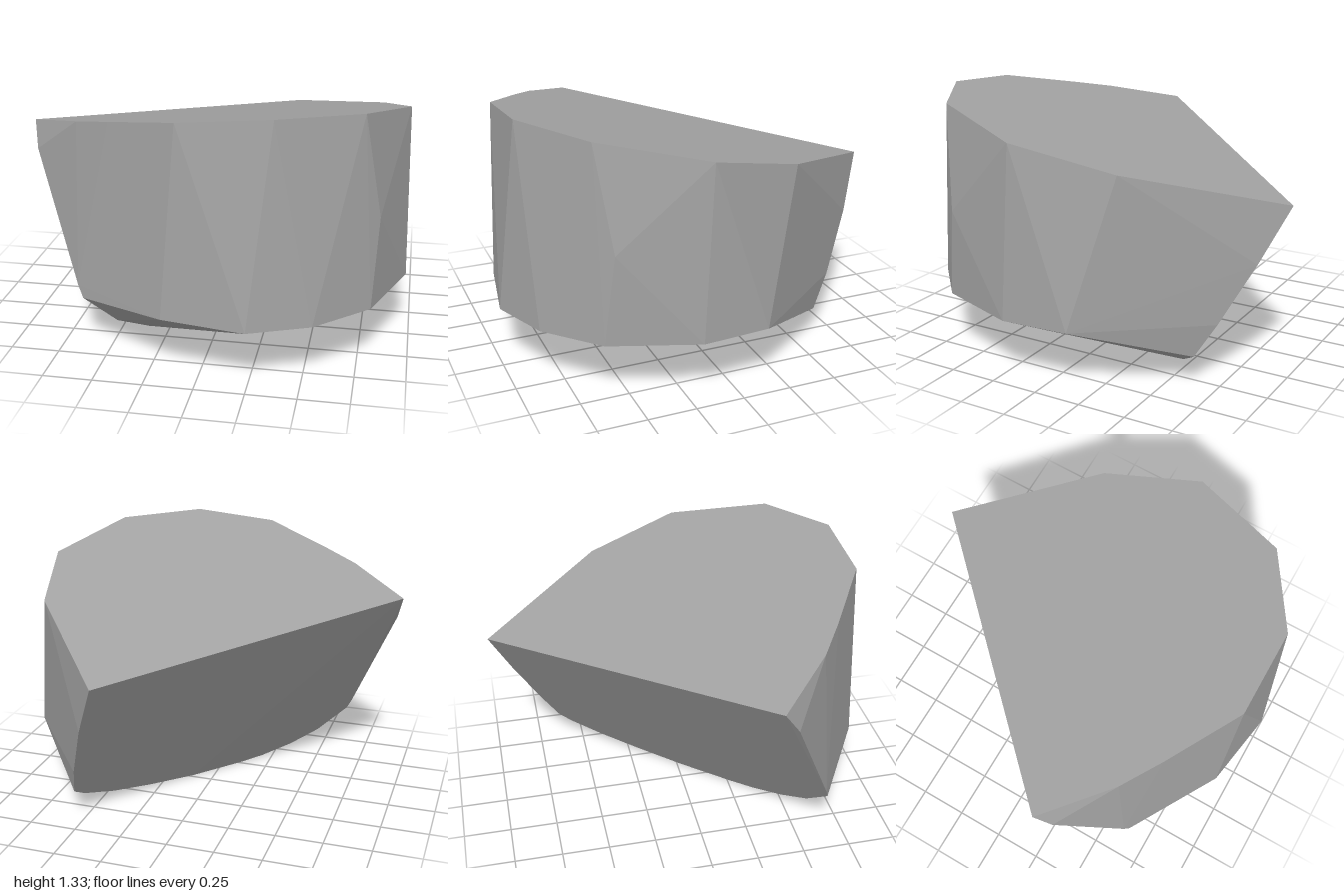
import * as THREE from 'three';
import { ConvexGeometry } from 'three/addons/geometries/ConvexGeometry.js';

export function createModel() {
  const group = new THREE.Group();
  group.name = 'rockChunk';
  const stone = new THREE.MeshStandardMaterial({ color: 0xa3a3a3 });
  stone.name = 'greyStone';

  // Sloped flat top: outline as x, z; height follows the tilted plane
  const top = [
    [0.27, -1], [0.8, -0.35], [0.95, 0.15], [0.75, 0.66], [0.36, 0.91],
    [-0.09, 0.91], [-0.46, 0.69], [-0.66, 0.56], [-0.975, 0.27],
  ].map(([x, z]) => new THREE.Vector3(x, 1.099 + 0.0817 * x + 0.2213 * z, z));

  // Level rim where the side wall meets the underside: x, z
  const rim = [
    [0.945, -0.15], [0.97, 0.2], [0.81, 0.64], [0.55, 0.88],
    [0.25, 1], [-0.17, 0.93], [-0.52, 0.71],
  ].map(([x, z]) => new THREE.Vector3(x, 0.32, z));

  // Curved lower edge of the slanted back cut: x, y; depth follows the cut plane
  const cut = [
    [0.39, 0.62], [0.5, 0.32], [0.55, 0.15], [0.522, 0.11], [0.424, 0.06],
    [0.284, 0.025], [0.11, 0], [-0.1, 0], [-0.2, 0.01], [-0.34, 0.05],
    [-0.48, 0.12], [-0.57, 0.2], [-0.64, 0.26], [-0.67, 0.32], [-0.94, 0.95],
  ].map(([x, y]) => new THREE.Vector3(x, y, (0.127 - x - 0.8 * y) / 0.863));

  // Bulge corner on the side wall
  const bulge = new THREE.Vector3(0.835, 0.78, 0.59);

  const rock = new THREE.Mesh(new ConvexGeometry([...top, ...rim, ...cut, bulge]), stone);
  rock.name = 'rock';
  group.add(rock);
  return group;
}
